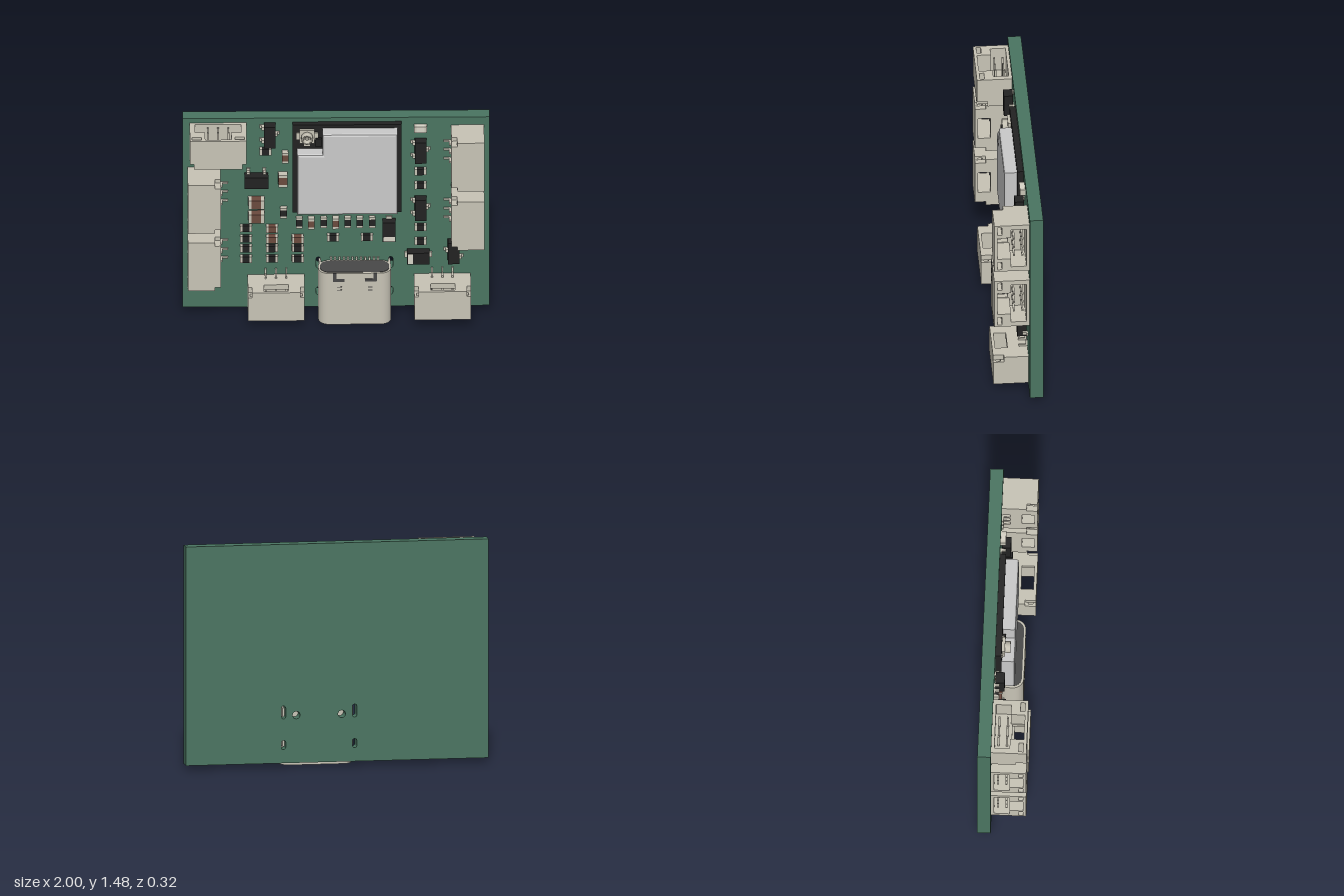
import * as THREE from 'three';

const mat = (name, color) => {
  const m = new THREE.MeshStandardMaterial({ color });
  m.name = name;
  return m;
};

export function createModel() {
  const green = mat('boardGreen', 0x4a7561);
  const beige = mat('housingBeige', 0xc8c4b6);
  const silver = mat('shieldSilver', 0xcacaca);
  const black = mat('componentBlack', 0x222222);
  const brown = mat('capacitorBrown', 0x6b4a3e);
  const dark = mat('insertGrey', 0x484848);
  const pale = mat('bandPale', 0xd9d5c8);

  const model = new THREE.Group();
  model.name = 'circuitBoard';
  const Z0 = -0.07; // component side of the board

  const add = (parent, name, geo, m, x = 0, y = 0, z = 0) => {
    const mesh = new THREE.Mesh(geo, m);
    mesh.name = name;
    mesh.position.set(x, y, z);
    parent.add(mesh);
    return mesh;
  };
  const box = (parent, name, m, x, y, z, w, h, d) =>
    add(parent, name, new THREE.BoxGeometry(w, h, d), m, x, y, z);
  // box standing on the board, from height a to height b above it
  const onBoard = (parent, name, m, x, y, w, h, a, b) =>
    box(parent, name, m, x, y, Z0 + (a + b) / 2, w, h, b - a);
  const poly = (pts, C = THREE.Shape) => new C(pts.map(p => new THREE.Vector2(...p)));
  const rect = (x0, y0, x1, y1, C) => poly([[x0, y0], [x1, y0], [x1, y1], [x0, y1]], C);
  const rounded = (x, y, w, h, r, C = THREE.Shape) => {
    const s = new C(), a = w / 2 - r, b = h / 2 - r;
    s.absarc(x + a, y + b, r, 0, Math.PI / 2);
    s.absarc(x - a, y + b, r, Math.PI / 2, Math.PI);
    s.absarc(x - a, y - b, r, Math.PI, Math.PI * 1.5);
    s.absarc(x + a, y - b, r, Math.PI * 1.5, Math.PI * 2);
    s.closePath();
    return s;
  };
  const extrude = (shape, depth, opts = {}) =>
    new THREE.ExtrudeGeometry(shape, { depth, bevelEnabled: false, curveSegments: 8, ...opts });

  // Board with mounting slots and locating holes
  const board = rect(-1, 0.03, 1, 1.475);
  for (const s of [-1, 1]) {
    const cx = 0.12 + s * 0.235;
    board.holes.push(rounded(cx, 0.365, 0.03, 0.085, 0.0149, THREE.Path));
    board.holes.push(rounded(cx, 0.15, 0.03, 0.06, 0.0149, THREE.Path));
    const hole = new THREE.Path();
    hole.absarc(0.12 + s * 0.15, 0.345, 0.025, 0, Math.PI * 2);
    board.holes.push(hole);
  }
  add(model, 'board', extrude(board, 0.088), green, 0, 0, -0.158);

  // Three-pin wire connectors: local x across, y away from the board, z out of the mouth
  const rim = rect(-0.185, 0, 0.185, 0.23);
  rim.holes.push(poly([[-0.15, 0.02], [0.15, 0.02], [0.15, 0.12], [0.085, 0.12],
    [0.085, 0.21], [-0.085, 0.21], [-0.085, 0.12], [-0.15, 0.12]], THREE.Path));
  rim.holes.push(rect(-0.17, 0.18, -0.11, 0.21, THREE.Path));
  rim.holes.push(rect(0.11, 0.18, 0.17, 0.21, THREE.Path));
  const back = poly([[-0.185, 0], [0.185, 0], [0.185, 0.16], [0.158, 0.16],
    [0.158, 0.23], [-0.158, 0.23], [-0.158, 0.16], [-0.185, 0.16]]);
  back.holes.push(rect(-0.08, 0.13, 0.08, 0.21, THREE.Path));
  const rimGeo = extrude(rim, 0.177), backGeo = extrude(back, 0.038);

  const connector = (x, y, dx, dy) => {
    const g = new THREE.Group();
    g.name = 'wireConnector';
    const out = new THREE.Vector3(dx, dy, 0), up = new THREE.Vector3(0, 0, 1);
    g.quaternion.setFromRotationMatrix(
      new THREE.Matrix4().makeBasis(up.clone().cross(out), up, out));
    g.position.set(x, y, Z0);
    add(g, 'housingRim', rimGeo, beige, 0, 0, -0.07);
    add(g, 'housingBack', backGeo, beige, 0, 0, -0.108);
    for (const u of [-0.067, 0, 0.067]) {
      for (const h of [0.045, 0.1]) box(g, 'contactPin', beige, u, h, 0.01, 0.012, 0.012, 0.17);
      box(g, 'pinLeg', beige, u, 0.03, -0.115, 0.012, 0.05, 0.015);
      box(g, 'pinFoot', beige, u, 0.006, -0.135, 0.012, 0.012, 0.045);
    }
    model.add(g);
  };
  connector(-0.77, 1.335, 0, 1);
  connector(-0.862, 0.92, -1, 0);
  connector(-0.862, 0.48, -1, 0);
  connector(-0.392, 0.17, 0, -1);
  connector(0.692, 0.17, 0, -1);
  connector(0.857, 1.23, 1, 0);
  connector(0.857, 0.78, 1, 0);

  // Radio module: carrier, shield can with a cut corner, antenna socket
  const radio = new THREE.Group();
  radio.name = 'radioModule';
  model.add(radio);
  onBoard(radio, 'moduleCarrier', black, 0.07, 1.11, 0.71, 0.67, 0, 0.04);
  const can = poly([[-0.24, 0.82], [0.385, 0.82], [0.385, 1.405], [-0.075, 1.405],
    [-0.075, 1.25], [-0.24, 1.25]]);
  add(radio, 'shieldCan', extrude(can, 0.085, {
    bevelEnabled: true, bevelSize: 0.015, bevelThickness: 0.015, bevelSegments: 2,
  }), silver, 0, 0, -0.045);
  onBoard(radio, 'socketBase', beige, -0.19, 1.365, 0.1, 0.1, 0.04, 0.06);
  onBoard(radio, 'socketPads', beige, -0.19, 1.365, 0.14, 0.05, 0.04, 0.048);
  onBoard(radio, 'socketPad', beige, -0.19, 1.305, 0.04, 0.03, 0.04, 0.048);
  onBoard(radio, 'modulePart', black, -0.115, 1.32, 0.04, 0.06, 0.04, 0.06);
  const ring = new THREE.LatheGeometry([[0.022, 0], [0.038, 0], [0.038, 0.035], [0.022, 0.035], [0.022, 0]]
    .map(p => new THREE.Vector2(...p)), 20);
  ring.rotateX(Math.PI / 2);
  add(radio, 'socketRing', ring, beige, -0.19, 1.365, Z0 + 0.06);
  const post = new THREE.CylinderGeometry(0.01, 0.01, 0.03, 10).rotateX(Math.PI / 2);
  add(radio, 'socketPost', post, beige, -0.19, 1.365, Z0 + 0.07);

  // Cable port: rounded shell open at the bottom, insert and tongue
  const port = new THREE.Group();
  port.name = 'cablePort';
  port.position.set(0.12, 0, 0.023);
  model.add(port);
  const shell = rounded(0, 0, 0.475, 0.166, 0.07);
  shell.holes.push(rounded(0, 0, 0.44, 0.13, 0.055, THREE.Path));
  add(port, 'portShell', extrude(shell, 0.39).rotateX(-Math.PI / 2), beige);
  const plug = extrude(rounded(0, 0, 0.45, 0.14, 0.06), 0.15).rotateX(-Math.PI / 2);
  add(port, 'portInsert', plug, dark, 0, 0.243, 0);
  box(port, 'portTongue', black, 0, 0.15, 0, 0.33, 0.22, 0.035);
  for (const s of [-1, 1]) {
    box(port, 'latchSlot', dark, s * 0.105, 0.338, 0.082, 0.075, 0.022, 0.006);
    box(port, 'latchSlotEnd', dark, s * 0.132, 0.362, 0.082, 0.022, 0.06, 0.006);
    for (const y of [0.262, 0.285]) box(port, 'springMark', dark, s * 0.1, y, 0.082, 0.03, 0.006, 0.005);
    box(port, 'upperFoot', beige, s * 0.226, 0.355, -0.06, 0.014, 0.06, 0.12);
    box(port, 'lowerFoot', beige, s * 0.226, 0.15, -0.06, 0.014, 0.04, 0.12);
  }
  for (let i = 0; i < 12; i++)
    box(port, 'portLead', beige, -0.154 + i * 0.028, 0.395, -0.085, 0.013, 0.03, 0.016);

  // Small chips with metal end caps; the long side sets the direction
  const chip = (name, m, x, y, w, h, t) => {
    const g = new THREE.Group();
    g.name = name;
    model.add(g);
    const wide = w > h, L = wide ? w : h, c = L * 0.2;
    onBoard(g, 'chipBody', m, x, y, wide ? w - 2 * c : w, wide ? h : h - 2 * c, 0, t);
    for (const s of [-1, 1]) {
      const o = s * (L - c) / 2;
      onBoard(g, 'endCap', beige, x + (wide ? o : 0), y + (wide ? 0 : o), wide ? c : w, wide ? h : c, 0, t);
    }
  };
  const resistors = [[-0.46, 1.23], [0.55, 1.07], [0.55, 0.963], [0.55, 0.642], [0.55, 0.535],
    [-0.587, 0.642], [-0.587, 0.562], [-0.587, 0.487], [-0.587, 0.407], [-0.417, 0.487],
    [-0.417, 0.407], [-0.25, 0.487], [-0.25, 0.407], [-0.02, 0.567], [0.2, 0.567]];
  for (const [x, y] of resistors) chip('resistor', black, x, y, 0.078, 0.046, 0.028);
  for (const [x, y] of [[-0.417, 0.642], [-0.417, 0.562], [-0.25, 0.562]])
    chip('capacitor', brown, x, y, 0.078, 0.046, 0.042);
  for (let i = 0; i < 7; i++) {
    const cap = i === 1 || i === 3;
    chip(cap ? 'capacitor' : 'resistor', cap ? brown : black, -0.24 + i * 0.079, 0.685, 0.042, 0.078, cap ? 0.042 : 0.028);
  }
  chip('resistor', black, -0.342, 0.76, 0.046, 0.078, 0.028);
  chip('capacitor', brown, -0.333, 1.192, 0.042, 0.078, 0.042);
  chip('capacitor', brown, -0.347, 1.02, 0.06, 0.09, 0.05);
  for (const y of [0.845, 0.737]) chip('largeCapacitor', brown, -0.52, y, 0.105, 0.065, 0.06);
  chip('indicatorLamp', pale, 0.55, 1.4, 0.085, 0.046, 0.035);

  // Transistors: black body, one lead on one side and two on the other
  const transistor = (x, y, side) => {
    const g = new THREE.Group();
    g.name = 'transistor';
    model.add(g);
    onBoard(g, 'transistorBody', black, x, y, 0.075, 0.16, 0.008, 0.068);
    for (const [s, dy] of [[side, 0], [-side, 0.05], [-side, -0.05]]) {
      onBoard(g, 'lead', beige, x + s * 0.043, y + dy, 0.018, 0.022, 0, 0.035);
      onBoard(g, 'leadFoot', beige, x + s * 0.056, y + dy, 0.018, 0.022, 0, 0.01);
    }
  };
  transistor(-0.433, 1.365, 1);
  transistor(0.55, 1.24, 1);
  transistor(0.55, 0.8, 1);
  transistor(0.765, 0.468, -1);

  // Five-lead regulator
  onBoard(model, 'regulatorBody', black, -0.52, 1.022, 0.155, 0.085, 0.008, 0.075);
  for (const [dx, s] of [[-0.053, 1], [0.053, 1], [-0.053, -1], [0, -1], [0.053, -1]]) {
    onBoard(model, 'regulatorLead', beige, -0.52 + dx, 1.022 + s * 0.05, 0.022, 0.02, 0, 0.035);
    onBoard(model, 'regulatorFoot', beige, -0.52 + dx, 1.022 + s * 0.066, 0.022, 0.02, 0, 0.01);
  }

  // Diodes with a pale band at one end
  const diode = (x, y, w, h, bx, by) => {
    const g = new THREE.Group();
    g.name = 'diode';
    model.add(g);
    const wide = w > h;
    onBoard(g, 'diodeBody', black, x, y, w, h, 0.006, 0.066);
    onBoard(g, 'diodeBand', pale, x + bx, y + by, wide ? 0.032 : w - 0.012, wide ? h - 0.012 : 0.032, 0.064, 0.069);
    onBoard(g, 'diodeLeads', beige, x, y, wide ? w + 0.035 : 0.04, wide ? 0.04 : h + 0.035, 0, 0.015);
  };
  diode(0.345, 0.633, 0.085, 0.145, 0, -0.05);
  diode(0.535, 0.43, 0.145, 0.085, -0.05, 0);

  return model;
}
